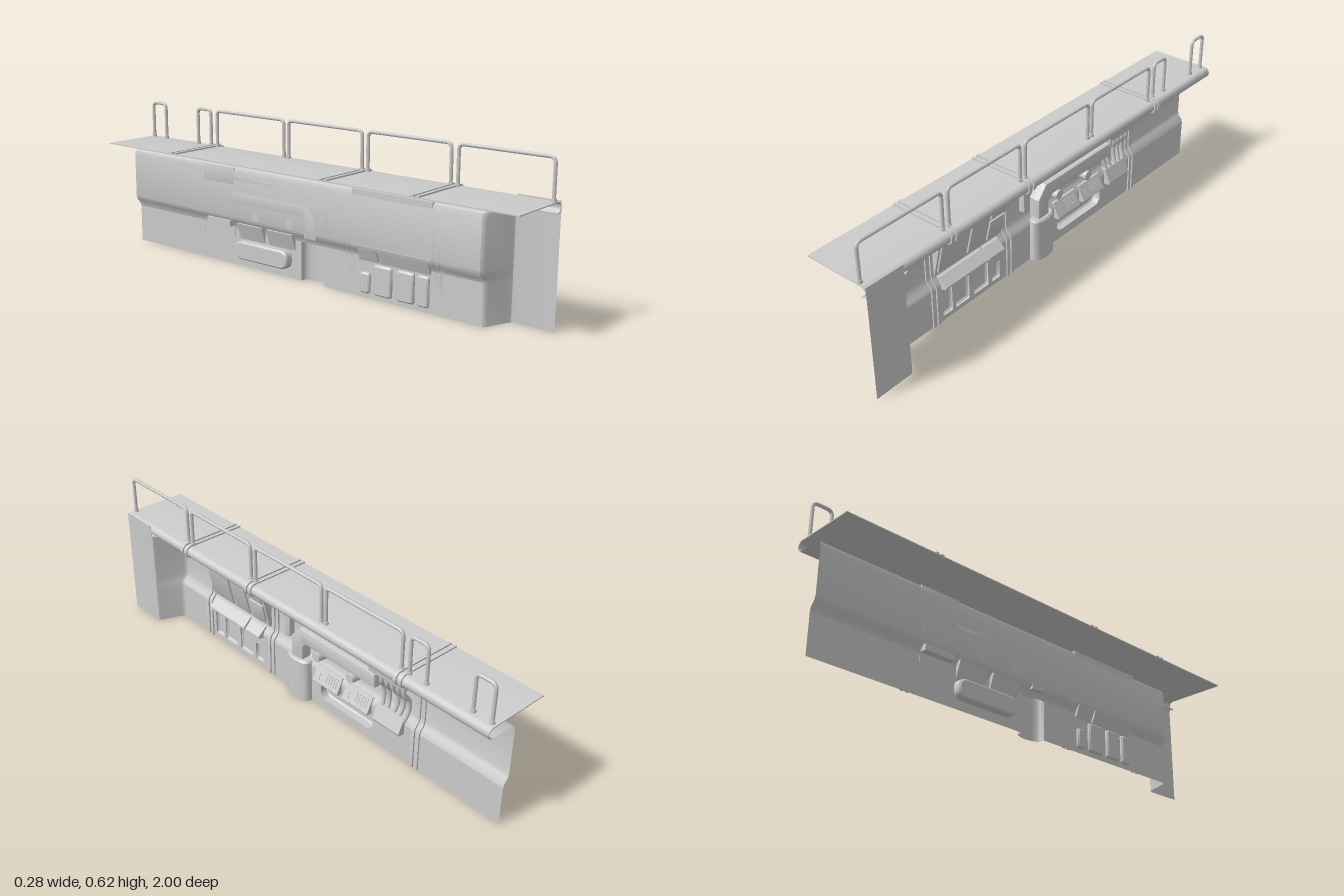
import * as THREE from 'three';
import { toCreasedNormals } from 'three/addons/utils/BufferGeometryUtils.js';

const mat = new THREE.MeshStandardMaterial({ color: 0xcccccc, side: THREE.DoubleSide });

// wall cross-section in (x, y), from floor to the overhang
const WALL = [[0.02, 0], [0.02, 0.16], [0.015, 0.175], [0, 0.192], [-0.005, 0.21], [-0.005, 0.395],
  [0, 0.411], [0.015, 0.42], [0.112, 0.42]];
// rounded lip and deck cross-section
const LIP = [];
for (let i = 0; i <= 8; i++) {
  const a = -Math.PI / 2 + (i / 8) * Math.PI;
  LIP.push([0.112 + 0.022 * Math.cos(a), 0.4425 + 0.0225 * Math.sin(a)]);
}
const DECK = [...LIP, [-0.142, 0.465]];

export function createModel() {
  const root = new THREE.Group();

  function add(name, geo, parent = root) {
    const m = new THREE.Mesh(geo, mat);
    m.name = name;
    parent.add(m);
    return m;
  }

  // skin between equal-length rows of [x, y, z] points
  function loft(rows, crease = 0.6) {
    const pos = rows.flat(2), idx = [], n = rows[0].length;
    for (let r = 0; r < rows.length - 1; r++) {
      for (let i = 0; i < n - 1; i++) {
        const a = r * n + i, b = a + n;
        idx.push(a, a + 1, b, a + 1, b + 1, b);
      }
    }
    const g = new THREE.BufferGeometry();
    g.setAttribute('position', new THREE.Float32BufferAttribute(pos, 3));
    g.setIndex(idx);
    return toCreasedNormals(g, crease);
  }

  const shapeOf = (pts) => new THREE.Shape(pts.map((p) => new THREE.Vector2(p[0], p[1])));

  // (x, y) profile run along z
  function run(pts, z0, z1) {
    const g = new THREE.ExtrudeGeometry(shapeOf(pts), { depth: z1 - z0, bevelEnabled: false });
    return toCreasedNormals(g.translate(0, 0, z0), 0.5);
  }

  // (z, y) outline, front face at x, thickened inward
  function plate(pts, x, depth, bevel = 0) {
    const g = new THREE.ExtrudeGeometry(shapeOf(pts), {
      depth: depth - 2 * bevel, bevelEnabled: bevel > 0, bevelSize: bevel, bevelOffset: -bevel,
      bevelThickness: bevel, bevelSegments: 2,
    });
    return toCreasedNormals(g.rotateY(-Math.PI / 2).translate(x - bevel, 0, 0), 0.5);
  }

  // thickened path run along z
  function ribbon(path, off, z0, z1) {
    const outer = path.map((p, i) => {
      const a = path[Math.max(i - 1, 0)], b = path[Math.min(i + 1, path.length - 1)];
      const dx = b[0] - a[0], dy = b[1] - a[1], l = Math.hypot(dx, dy);
      return [p[0] + (dy / l) * off, p[1] - (dx / l) * off];
    });
    return run([...path, ...outer.reverse()], z0, z1);
  }

  const rect = (z0, z1, y0, y1) => [[z0, y0], [z1, y0], [z1, y1], [z0, y1]];

  function roundRect(z0, z1, y0, y1, r, seg = 5) {
    const pts = [];
    [[z1 - r, y0 + r, -0.5], [z1 - r, y1 - r, 0], [z0 + r, y1 - r, 0.5], [z0 + r, y0 + r, 1]].forEach(([cz, cy, q]) => {
      for (let i = 0; i <= seg; i++) {
        const a = (q + (i / seg) * 0.5) * Math.PI;
        pts.push([cz + r * Math.cos(a), cy + r * Math.sin(a)]);
      }
    });
    return pts;
  }

  // lower wall with openings for the pockets and the column
  const pockets = [
    [0.51, 0.56, 0.02, 0.138, 0.008, 0.013], [0.42, 0.495, 0.02, 0.138, 0.008, 0.013],
    [0.315, 0.395, 0.02, 0.138, 0.008, 0.013], [0.25, 0.295, 0.02, 0.1, 0.008, 0.013],
    [-0.385, -0.1, 0.038, 0.113, 0.03, 0.034],
  ];
  const low = shapeOf([[-1, 0], [-0.05, 0], [-0.05, 0.16], [0.07, 0.16], [0.07, 0], [0.78, 0], [0.78, 0.16], [-1, 0.16]]);
  for (const [z0, z1, y0, y1, r, d] of pockets) {
    const ring = roundRect(z0, z1, y0, y1, r);
    low.holes.push(new THREE.Path(ring.map((p) => new THREE.Vector2(p[0], p[1]))));
    ring.push(ring[0]);
    const cz = (z0 + z1) / 2, cy = (y0 + y1) / 2, e = 0.006;
    const inset = ([z, y]) => [cz + (z - cz) * (1 - 2 * e / (z1 - z0)), cy + (y - cy) * (1 - 2 * e / (y1 - y0))];
    add('wallPocket', loft([
      ring.map(([z, y]) => [0.02, y, z]),
      ring.map(([z, y]) => [0.02 - d + e, y, z]),
      ring.map((p) => { const [z, y] = inset(p); return [0.02 - d, y, z]; }),
      ring.map(() => [0.02 - d, cy, cz]),
    ]));
  }
  add('lowerWall', new THREE.ShapeGeometry(low).rotateY(-Math.PI / 2).translate(0.02, 0, 0));

  // upper wall and underside, then the end return and flush end panel
  const section = (pts, z, t) => pts.map(([x, y]) => [x + (0.134 - x) * t, y, z]);
  add('upperWall', loft([section(WALL.slice(1), -1, 0), section(WALL.slice(1), 0.78, 0)]));
  const returns = [[0.78, 0], [0.787, 0.03], [0.793, 0.11], [0.826, 0.88], [0.832, 0.97], [0.842, 1], [1, 1]];
  add('endReturn', loft(returns.map(([z, t]) => section(WALL, z, t))));
  add('endPanelTop', plate(rect(0.835, 1, 0.42, 0.465), 0.134, 0.003));
  add('endSoffit', run([[0.015, 0.419], [0.112, 0.419], [0.112, 0.421], [0.015, 0.421]], 0.78, 0.835));

  // walkway deck with rounded lip
  add('walkway', ribbon(DECK, -0.004, -1, 1));

  // paired ribs wrapping wall, lip and deck
  for (const z of [0.597, 0.192, -0.603]) {
    for (const s of [-0.012, 0.012]) {
      add('rib', ribbon([...WALL, ...DECK.slice(1)], 0.006, z + s - 0.007, z + s + 0.007));
    }
  }

  // handrails
  const rails = [[0.99, 0.615], [0.585, 0.215], [0.187, -0.183], [-0.208, -0.585], [-0.622, -0.7], [-0.902, -0.982]];
  for (const [a, b] of rails) {
    const g = new THREE.Group();
    g.name = 'handrail';
    root.add(g);
    const v = (y, z) => new THREE.Vector3(0.097, y, z), r = 0.022, path = new THREE.CurvePath();
    path.add(new THREE.LineCurve3(v(0.465, a), v(0.617 - r, a)));
    path.add(new THREE.QuadraticBezierCurve3(v(0.617 - r, a), v(0.617, a), v(0.617, a - r)));
    path.add(new THREE.LineCurve3(v(0.617, a - r), v(0.617, b + r)));
    path.add(new THREE.QuadraticBezierCurve3(v(0.617, b + r), v(0.617, b), v(0.617 - r, b)));
    path.add(new THREE.LineCurve3(v(0.617 - r, b), v(0.465, b)));
    add('railTube', new THREE.TubeGeometry(path, 80, 0.007, 8), g);
    for (const z of [a, b]) {
      add('railFoot', new THREE.CylinderGeometry(0.0095, 0.0105, 0.012, 10).translate(0.097, 0.471, z), g);
    }
  }

  // leaning board with raised panels
  add('leaningBoard', run([[-0.005, 0.205], [0.005, 0.205], [0.055, 0.419], [-0.005, 0.419]], 0.22, 0.58));
  const lean = new THREE.Group();
  lean.name = 'boardPanels';
  lean.position.set(0.005, 0.205, 0);
  lean.rotation.z = -Math.atan2(0.05, 0.214);
  root.add(lean);
  const boards = [rect(0.44, 0.57, 0.015, 0.205), rect(0.335, 0.415, 0.015, 0.205), rect(0.23, 0.31, 0.118, 0.205),
    [[0.31, 0.015], [0.31, 0.108], [0.23, 0.108], [0.23, 0.04], [0.238, 0.022], [0.255, 0.015]]];
  boards.forEach((b) => add('boardPanel', plate(b, 0.007, 0.01, 0.002), lean));

  // sloped shelf in two lengths
  for (const [z0, z1] of [[0.34, 0.565], [0.245, 0.332]]) {
    add('slopedShelf', run([[-0.005, 0.195], [0.01, 0.192], [0.045, 0.16], [0.045, 0.152], [0.015, 0.145]], z0, z1));
  }

  // half-round column, open at the back
  const arc = [];
  for (let i = 0; i <= 16; i++) {
    const a = (i / 16) * Math.PI;
    arc.push([0.02 + 0.04 * Math.pow(Math.sin(a), 0.6), 0.01 + 0.06 * Math.cos(a)]);
  }
  add('column', loft([
    arc.map(([x, z]) => [x, 0, z]), arc.map(([x, z]) => [x, 0.178, z]),
    arc.map(([x, z]) => [x - 0.006, 0.186, 0.01 + (z - 0.01) * 0.93]), arc.map(() => [0, 0.187, 0.01]),
  ]));

  // broad duct from the column and slimmer duct above it
  add('broadDuct', plate([[0.045, 0.18], [0.045, 0.27], [0, 0.322], [-0.41, 0.322], [-0.41, 0.262],
    [-0.04, 0.262], [-0.018, 0.24], [-0.018, 0.18]], 0.045, 0.05, 0.008));
  add('slimDuct', plate([[0.108, 0.24], [0.108, 0.37], [0.09, 0.39], [-0.4, 0.39], [-0.4, 0.36], [0.088, 0.36],
    [0.078, 0.35], [0.078, 0.24], [0.085, 0.233], [0.1, 0.233]], 0.025, 0.03, 0.006));
  add('ductVent', plate(roundRect(-0.25, -0.06, 0.364, 0.386, 0.005, 2), 0.029, 0.008));

  // knobs
  for (const z of [-0.09, -0.275]) {
    add('knob', new THREE.CylinderGeometry(0.02, 0.022, 0.045, 18).rotateZ(-Math.PI / 2).translate(0.017, 0.23, z));
  }

  // sloped consoles with buttons
  for (const z of [-0.148, -0.31]) {
    add('console', run([[-0.005, 0.185], [0.015, 0.185], [0.045, 0.125], [0.04, 0.118], [0.018, 0.118]], z - 0.068, z + 0.068));
    const keys = new THREE.Group();
    keys.name = 'consoleKeys';
    keys.position.set(0.03, 0.155, z);
    keys.rotation.z = Math.atan2(0.03, 0.06);
    root.add(keys);
    for (let r = 0; r < 4; r++) {
      for (let c = 0; c < 5; c++) {
        add('key', new THREE.BoxGeometry(0.006, 0.006, 0.009).translate(0, 0.018 - r * 0.01, 0.005 - c * 0.0135), keys);
      }
    }
    for (const y of [-0.014, 0.002]) add('switch', new THREE.BoxGeometry(0.006, 0.01, 0.01).translate(0, y, 0.042), keys);
  }

  // junction boxes and cables
  add('upperJunctionBox', plate(rect(-0.57, -0.39, 0.34, 0.415), 0.06, 0.065, 0.004));
  add('lowerJunctionBox', run([[-0.011, 0.19], [0.025, 0.188], [0.05, 0.13], [0.045, 0.12], [0.018, 0.12], [0.018, 0.165], [-0.011, 0.165]], -0.545, -0.412));
  for (let i = 0; i < 5; i++) {
    const z = -0.43 - i * 0.028, k = i < 2 ? 0.008 : -0.006;
    const pts = [[0.03, 0.35, z], [0.028, 0.3, z], [0.006, 0.265, z + k], [0.004, 0.225, z + k], [0.02, 0.175, z]];
    const curve = new THREE.CatmullRomCurve3(pts.map((p) => new THREE.Vector3(...p)));
    add('cable', new THREE.TubeGeometry(curve, 24, 0.009, 8));
  }

  // small lamps under the overhang
  for (const z of [0.52, 0.27, -0.05, -0.2]) {
    add('soffitLamp', new THREE.CylinderGeometry(0.009, 0.009, 0.012, 12).translate(0.08, 0.418, z));
  }
  return root;
}
